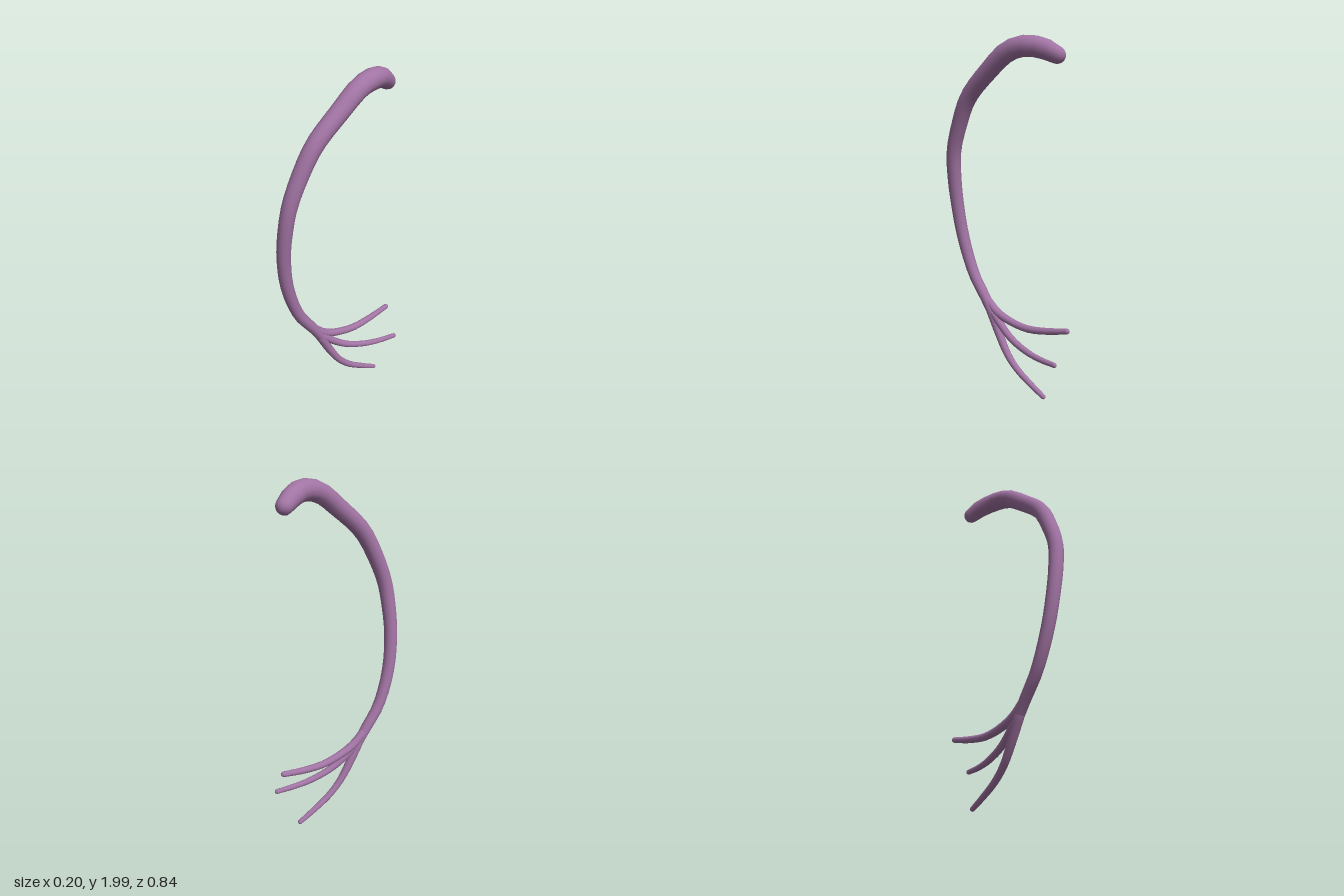
import * as THREE from 'three';

// Tapered tube with rounded ends; each point is [x, y, z, radius]
function taperedTube(points, segments, sides) {
  const curve = new THREE.CatmullRomCurve3(points.map(p => new THREE.Vector3(p[0], p[1], p[2])));
  const frames = curve.computeFrenetFrames(segments, false);
  const last = points.length - 1;
  const rings = [];
  const radiusAt = u => {
    const f = curve.getUtoTmapping(u) * last;
    const i = Math.min(Math.floor(f), last - 1);
    return THREE.MathUtils.lerp(points[i][3], points[i + 1][3], f - i);
  };
  const addRing = (i, shift, scale) => {
    const r = radiusAt(i / segments);
    const center = curve.getPointAt(i / segments).addScaledVector(frames.tangents[i], shift * r);
    rings.push({ center, r: r * scale, n: frames.normals[i], b: frames.binormals[i] });
  };
  const cap = [0.001, 0.35, 0.7, 1.1].map(a => [Math.cos(a), Math.sin(a)]);
  cap.forEach(([c, s]) => addRing(0, -c, s));
  for (let i = 0; i <= segments; i++) addRing(i, 0, 1);
  cap.reverse().forEach(([c, s]) => addRing(segments, c, s));

  const positions = [], index = [];
  rings.forEach(({ center, r, n, b }, i) => {
    for (let j = 0; j < sides; j++) {
      const a = j / sides * Math.PI * 2;
      const v = center.clone().addScaledVector(n, Math.cos(a) * r).addScaledVector(b, Math.sin(a) * r);
      positions.push(v.x, v.y, v.z);
      if (i === 0) continue;
      const k = (j + 1) % sides;
      const p = (i - 1) * sides, q = i * sides;
      index.push(p + j, p + k, q + j, p + k, q + k, q + j);
    }
  });
  const geometry = new THREE.BufferGeometry();
  geometry.setAttribute('position', new THREE.Float32BufferAttribute(positions, 3));
  geometry.setIndex(index);
  geometry.computeVertexNormals();
  return geometry;
}

export function createModel() {
  const group = new THREE.Group();
  const mauve = new THREE.MeshStandardMaterial({ color: 0xa274a4 });
  mauve.name = 'mauve';

  const parts = {
    // Arched trunk, thick at the hooked top and thinning to the fork
    mainStem: [
      [-0.035, 1.888, -0.338, 0.046], [-0.014, 1.918, -0.285, 0.054], [0.025, 1.941, -0.19, 0.058],
      [0.044, 1.918, -0.075, 0.056], [0.048, 1.817, 0.064, 0.052], [0.04, 1.68, 0.216, 0.049],
      [0.024, 1.532, 0.3, 0.046], [0.007, 1.37, 0.362, 0.043], [-0.018, 1.2, 0.381, 0.041],
      [-0.036, 1.08, 0.381, 0.039], [-0.055, 0.895, 0.36, 0.037], [-0.064, 0.735, 0.315, 0.035],
      [-0.065, 0.618, 0.262, 0.033], [-0.06, 0.503, 0.176, 0.031], [-0.055, 0.4, 0.11, 0.026],
    ],
    // Three slender branches sweeping backwards
    upperBranch: [
      [-0.062, 0.5, 0.17, 0.025], [-0.06, 0.435, 0.09, 0.025], [-0.058, 0.395, -0.02, 0.022],
      [-0.056, 0.377, -0.14, 0.021], [-0.056, 0.39, -0.28, 0.019], [-0.056, 0.414, -0.405, 0.016],
    ],
    middleBranch: [
      [-0.058, 0.45, 0.14, 0.024], [-0.045, 0.37, 0.05, 0.022], [-0.025, 0.305, -0.05, 0.02],
      [0.0, 0.262, -0.18, 0.018], [0.022, 0.248, -0.29, 0.016], [0.04, 0.246, -0.392, 0.014],
    ],
    lowerBranch: [
      [-0.057, 0.43, 0.13, 0.028], [-0.05, 0.29, 0.055, 0.024], [-0.043, 0.2, -0.005, 0.021],
      [-0.036, 0.13, -0.08, 0.019], [-0.028, 0.07, -0.18, 0.017], [-0.02, 0.02, -0.277, 0.014],
    ],
  };
  for (const [name, points] of Object.entries(parts)) {
    const mesh = new THREE.Mesh(taperedTube(points, name === 'mainStem' ? 32 : 16, 14), mauve);
    mesh.name = name;
    group.add(mesh);
  }
  return group;
}
